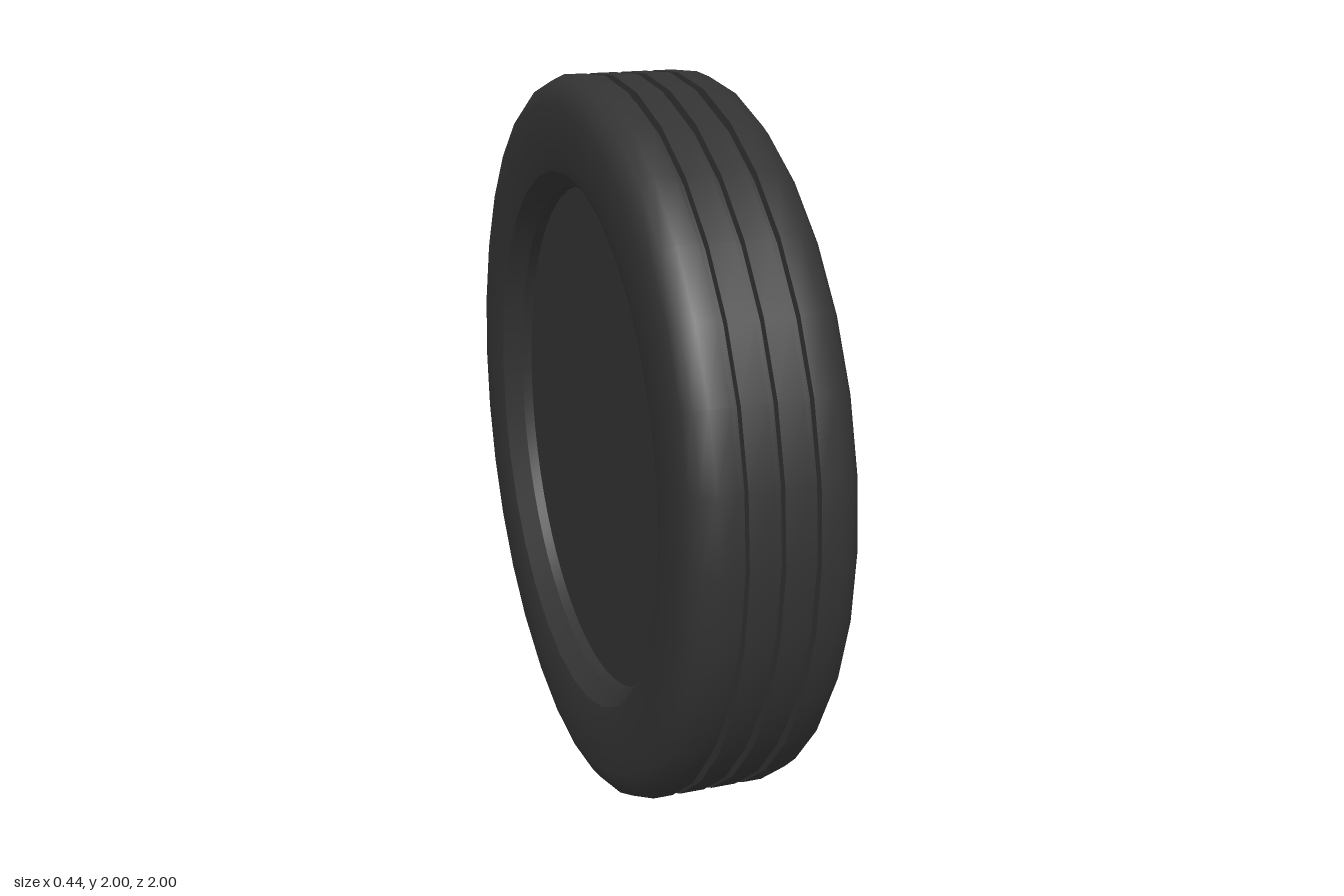
import * as THREE from 'three';
import { toCreasedNormals } from 'three/addons/utils/BufferGeometryUtils.js';

const paint = (name, color) => {
  const m = new THREE.MeshStandardMaterial({ color });
  m.name = name;
  return m;
};

// Revolve [radius, x] points about the wheel's x axis
function revolve(points, segments, crease = 0.5) {
  const g = new THREE.LatheGeometry(points.map(([r, x]) => new THREE.Vector2(r, x)), segments);
  g.rotateZ(-Math.PI / 2);
  return toCreasedNormals(g, crease);
}

// Disc facing along x, centred at (x, y, z)
function disc(radius, thick, segments, x, y = 0, z = 0) {
  return new THREE.CylinderGeometry(radius, radius, thick, segments)
    .rotateZ(-Math.PI / 2).translate(x, y, z);
}

// Rectangular bar running outward along y: sections are [r, zCentre, halfWidth, xBack, xFront]
function bar(sections) {
  const pos = [], index = [];
  for (const [r, z, h, b, f] of sections) pos.push(b, r, z - h, f, r, z - h, f, r, z + h, b, r, z + h);
  for (let s = 0; s < sections.length - 1; s++) {
    for (let i = 0; i < 4; i++) {
      const a = s * 4 + i, c = s * 4 + (i + 1) % 4;
      index.push(a, a + 4, c + 4, a, c + 4, c);
    }
  }
  const e = (sections.length - 1) * 4;
  index.push(0, 1, 2, 0, 2, 3, e, e + 2, e + 1, e, e + 3, e + 2);
  const g = new THREE.BufferGeometry();
  g.setAttribute('position', new THREE.Float32BufferAttribute(pos, 3));
  g.setIndex(index);
  return toCreasedNormals(g, 0.3);
}

export function createModel() {
  const rubber = paint('darkRubber', 0x333333);
  const silver = paint('silverAlloy', 0xc8c9cb);
  const steel = paint('brakeSteel', 0x919193);

  const wheel = new THREE.Group();
  wheel.name = 'wheel';
  const add = (name, geometry, material, parent = wheel) => {
    const m = new THREE.Mesh(geometry, material);
    m.name = name;
    parent.add(m);
    return m;
  };

  // Tyre: rounded shoulders with three tread grooves
  const shoulder = [[0.745, 0.21], [0.78, 0.218], [0.85, 0.22], [0.925, 0.22], [0.96, 0.21], [0.985, 0.19], [1, 0.155]];
  const tread = [];
  for (const x of [-0.09, 0, 0.09]) {
    tread.push([1, x - 0.011], [0.975, x - 0.011], [0.975, x + 0.011], [1, x + 0.011]);
  }
  const tyre = [...shoulder.map(([r, x]) => [r, -x]), ...tread, ...shoulder.slice().reverse()];
  add('tyre', revolve(tyre, 32, 0.7), rubber);

  // Rim: bright lip, dark barrel, closed dark back
  add('rimLip', revolve([[0.75, 0.205], [0.745, 0.212], [0.705, 0.195], [0.672, 0.165]], 64, 0.7), silver);
  add('rimBarrel', revolve([[0.672, 0.165], [0.675, -0.1], [0, -0.1]], 64), rubber);
  add('rimBack', revolve([[0, -0.13], [0.7, -0.13], [0.7, -0.16], [0.745, -0.21]], 64), rubber);
  add('valve', new THREE.CylinderGeometry(0.007, 0.007, 0.03, 8).translate(0.19, 0.685, 0), silver);

  // Brake disc with two rings of drilled holes and a dark centre
  add('brakeDisc', revolve([[0.25, -0.05], [0.66, -0.05], [0.66, -0.02], [0.25, -0.02]], 64), steel);
  add('brakeHat', revolve([[0.27, -0.09], [0.27, 0.02], [0.25, 0.03], [0, 0.03]], 48), rubber);
  const holes = new THREE.Group();
  holes.name = 'brakeDiscHoles';
  wheel.add(holes);
  for (const [r, offset] of [[0.557, 5.7], [0.46, 4]]) {
    for (let k = 0; k < 24; k++) {
      const a = THREE.MathUtils.degToRad(offset + 15 * k);
      add('hole', disc(0.013, 0.004, 10, -0.019, r * Math.sin(a), -r * Math.cos(a)), rubber, holes);
    }
  }

  // Hub with a raised centre cap and five lobes
  add('hub', revolve([[0, 0.08], [0.205, 0.08], [0.21, 0.155], [0.2, 0.165], [0, 0.165]], 48), silver);
  add('centreCap', disc(0.125, 0.008, 40, 0.168), silver);

  // Five forked spokes, with a cap lobe between each pair
  const stem = bar([[0.17, 0, 0.034, 0.06, 0.135], [0.26, 0, 0.034, 0.065, 0.14], [0.33, 0, 0.033, 0.08, 0.15], [0.4, 0, 0.032, 0.1, 0.168]]);
  const fork = bar([[0.37, 0, 0.06, 0.1, 0.166], [0.405, 0, 0.062, 0.105, 0.172]]);
  for (let k = 0; k < 5; k++) {
    const spoke = new THREE.Group();
    spoke.name = 'spoke';
    spoke.rotation.x = THREE.MathUtils.degToRad(72 * k - 90);
    add('spokeStem', stem, silver, spoke);
    add('spokeFork', fork, silver, spoke);
    for (const s of [-1, 1]) {
      add('spokeProng', bar([
        [0.38, s * 0.048, 0.021, 0.1, 0.17],
        [0.55, s * 0.064, 0.021, 0.125, 0.188],
        [0.69, s * 0.077, 0.021, 0.155, 0.195],
      ]), silver, spoke);
    }
    wheel.add(spoke);
    const a = THREE.MathUtils.degToRad(72 * k + 36);
    add('capLobe', disc(0.02, 0.012, 12, 0.169, 0.133 * Math.sin(a), -0.133 * Math.cos(a)), silver);
  }

  wheel.position.y = 1;
  const model = new THREE.Group();
  model.name = 'carWheel';
  model.add(wheel);
  return model;
}
